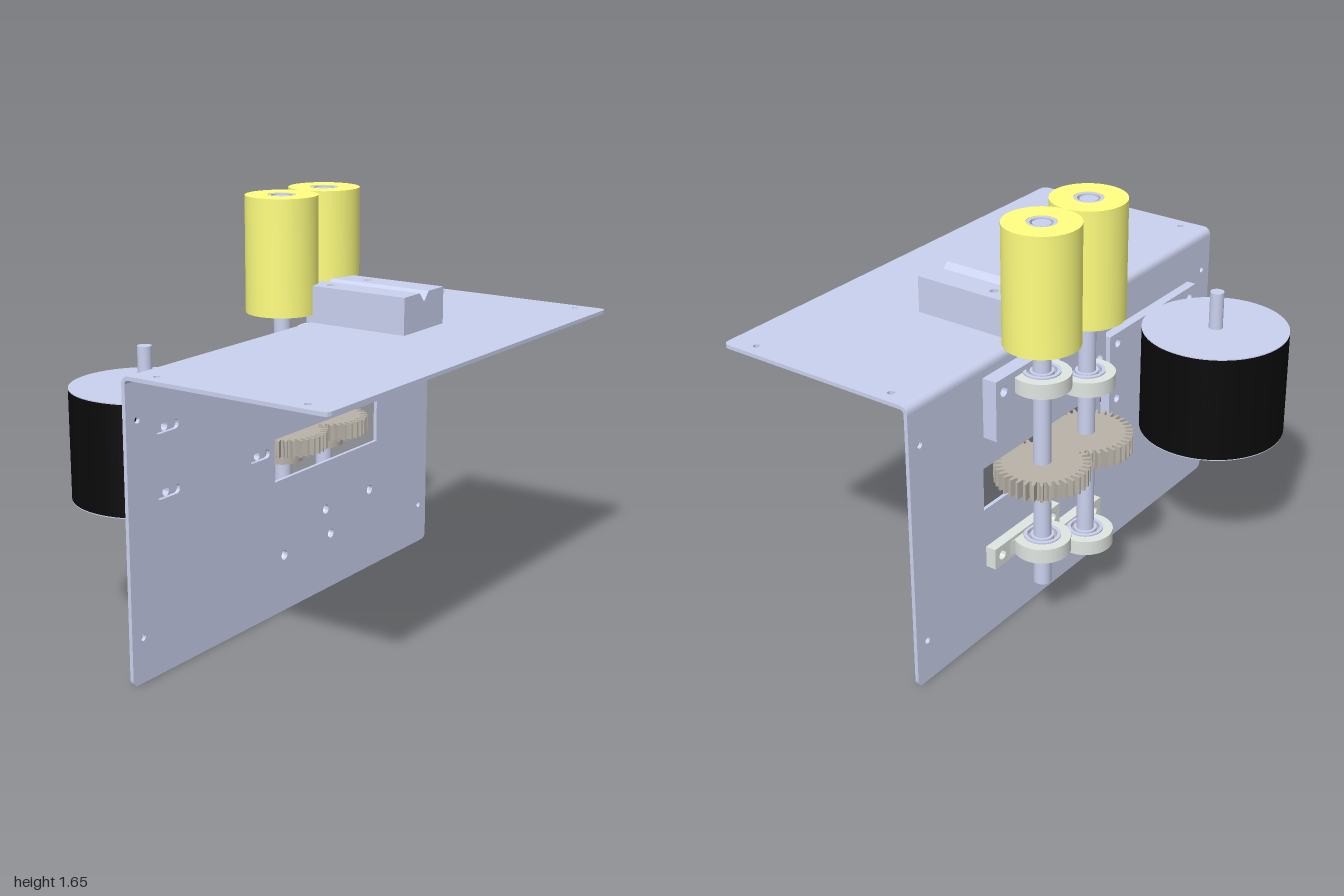
import * as THREE from 'three';
import { toCreasedNormals } from 'three/addons/utils/BufferGeometryUtils.js';

const paint = (color) => new THREE.MeshStandardMaterial({ color });
const steel = paint(0xcad1ee), yellow = paint(0xffff80), black = paint(0x0a0a0a);
const gearGrey = paint(0xb8b2a8), castGrey = paint(0xdfe5e0);

function add(parent, name, geometry, material) {
  const mesh = new THREE.Mesh(geometry, material);
  mesh.name = name;
  parent.add(mesh);
  return mesh;
}

// Upright cylinder between two heights
function post(parent, name, r, x, z, y0, y1, material, sides = 48) {
  const g = new THREE.CylinderGeometry(r, r, y1 - y0, sides);
  return add(parent, name, g.translate(x, (y0 + y1) / 2, z), material);
}

const extrude = (shape, depth) => toCreasedNormals(
  new THREE.ExtrudeGeometry(shape, { depth, bevelEnabled: false, curveSegments: 24 }), 0.5);
// Shape drawn in (z, y), filling x0..x1
const slabX = (shape, x0, x1) => extrude(shape, x1 - x0).rotateY(-Math.PI / 2).translate(x1, 0, 0);
// Shape drawn in (x, z), filling y0..y1
const slabY = (shape, y0, y1) => extrude(shape, y1 - y0).rotateX(Math.PI / 2).translate(0, y1, 0);

const poly = (pts) => new THREE.Shape(pts.map(([a, b]) => new THREE.Vector2(a, b)));
const rect = (a0, b0, a1, b1) => poly([[a0, b0], [a1, b0], [a1, b1], [a0, b1]]);
const disc = (a, b, r) => new THREE.Shape().absarc(a, b, r, 0, Math.PI * 2, false);
function slot(a, b, half, r) {
  const p = new THREE.Path();
  p.absarc(a + half, b, r, -Math.PI / 2, Math.PI / 2, false);
  p.absarc(a - half, b, r, Math.PI / 2, Math.PI * 1.5, false);
  p.closePath();
  return p;
}

const X = -0.235;                       // shaft axis
const BACK = -0.125, FACE = -0.11;      // upright panel thickness
const BOLT = 0.163;                     // bolt offset from shaft
const lines = [                         // the two roller lines
  { z: -0.085, low: 0.235, high: 0.93 },
  { z: -0.375, low: 0.35, high: 1.045 },
];

function bracket(root) {
  const g = new THREE.Group();
  g.name = 'bentBracket';
  root.add(g);
  // Upright panel with bolt holes, motor slots and gear window
  const wall = new THREE.Shape();
  wall.moveTo(-1, 1.13);
  wall.lineTo(-1, 0.03);
  wall.quadraticCurveTo(-1, 0, -0.97, 0);
  wall.lineTo(0.97, 0);
  wall.quadraticCurveTo(1, 0, 1, 0.03);
  wall.lineTo(1, 1.13);
  wall.closePath();
  for (const z of [-0.94, 0.94]) for (const y of [0.175, 0.99]) wall.holes.push(disc(z, y, 0.013));
  for (const l of lines) for (const y of [l.low, l.high]) for (const s of [-1, 1])
    wall.holes.push(disc(l.z + s * BOLT, y, 0.02));
  for (const z of [0.235, 0.78]) for (const y of [0.685, 0.93]) wall.holes.push(slot(z, y, 0.045, 0.018));
  wall.holes.push(rect(-0.59, 0.555, 0.14, 0.73));
  add(g, 'uprightPanel', slabX(wall, BACK, FACE), steel);

  // Top panel
  const top = new THREE.Shape();
  top.moveTo(-0.095, -1);
  top.lineTo(0.71, -1);
  top.quadraticCurveTo(0.74, -1, 0.74, -0.97);
  top.lineTo(0.74, 0.97);
  top.quadraticCurveTo(0.74, 1, 0.71, 1);
  top.lineTo(-0.095, 1);
  top.closePath();
  for (const x of [-0.01, 0.625]) for (const z of [-0.945, 0.945]) top.holes.push(disc(x, z, 0.013));
  for (const [x, z] of [[0.02, -0.32], [-0.04, -0.145], [0.14, -0.32], [0.14, -0.145]])
    top.holes.push(disc(x, z, 0.014));
  add(g, 'topPanel', slabY(top, 1.145, 1.16), steel);

  // Rounded bend joining the panels
  const bend = new THREE.Shape();
  bend.absarc(-0.095, 1.13, 0.03, Math.PI / 2, Math.PI, false);
  bend.absarc(-0.095, 1.13, 0.015, Math.PI, Math.PI / 2, true);
  bend.closePath();
  add(g, 'bend', extrude(bend, 2).translate(0, 0, -1), steel);
}

function guideBlock(root) {
  // Two halves split along the bottom of a V groove, each with one screw hole
  const g = new THREE.Group();
  g.name = 'guideBlock';
  root.add(g);
  add(g, 'guideBase', slabX(poly([[-0.375, 1.16], [-0.09, 1.16], [-0.09, 1.27], [-0.375, 1.27]]), -0.12, 0.335), steel);
  for (const [edge, lip, hx, hz] of [[-0.375, -0.265, 0.02, -0.32], [-0.09, -0.2, -0.04, -0.145]]) {
    const land = rect(-0.12, Math.min(edge, lip), 0.335, Math.max(edge, lip));
    land.holes.push(disc(hx, hz, 0.016));
    add(g, 'guideLand', slabY(land, 1.27, 1.307), steel);
    const wedge = edge < lip
      ? [[lip, 1.27], [-0.2325, 1.27], [lip, 1.307]]
      : [[-0.2325, 1.27], [lip, 1.27], [lip, 1.307]];
    add(g, 'grooveSide', slabX(poly(wedge), -0.12, 0.335), steel);
  }
}

function bearing(root, z, y, withFoot) {
  const g = new THREE.Group();
  g.name = 'pillowBearing';
  root.add(g);
  // Ring housing with a neck flaring to the panel
  const a = 0.6;
  const body = new THREE.Shape();
  body.moveTo(BACK, z - 0.13);
  body.lineTo(-0.165, z - 0.13);
  body.lineTo(X + 0.11 * Math.sin(a), z - 0.11 * Math.cos(a));
  body.absarc(X, z, 0.11, a - Math.PI / 2, Math.PI / 2 - a, true);
  body.lineTo(-0.165, z + 0.13);
  body.lineTo(BACK, z + 0.13);
  body.closePath();
  body.holes.push(disc(X, z, 0.07));
  add(g, 'housing', slabY(body, y - 0.03, y + 0.03), castGrey);
  // Bearing races
  const outer = disc(X, z, 0.071);
  outer.holes.push(disc(X, z, 0.057));
  add(g, 'outerRace', slabY(outer, y - 0.025, y + 0.036), steel);
  post(g, 'bearingFill', 0.058, X, z, y - 0.02, y + 0.02, gearGrey);
  post(g, 'innerRace', 0.045, X, z, y - 0.06, y + 0.035, steel);
  if (!withFoot) return;
  const foot = rect(z - 0.208, y - 0.043, z + 0.208, y + 0.043);
  for (const s of [-1, 1]) foot.holes.push(disc(z + s * BOLT, y, 0.02));
  add(g, 'foot', slabX(foot, -0.168, BACK), castGrey);
}

function gear(root, z, phase) {
  const n = 36, root_ = 0.152, tip = 0.183, pts = [];
  for (let i = 0; i < n; i++) {
    for (const [f, r] of [[-0.32, root_], [-0.14, tip], [0.14, tip], [0.32, root_]]) {
      const t = ((i + f + phase) / n) * Math.PI * 2;
      pts.push([X + r * Math.cos(t), z + r * Math.sin(t)]);
    }
  }
  add(root, 'gear', slabY(poly(pts), 0.63, 0.7), gearGrey);
  post(root, 'gearHub', 0.08, X, z, 0.575, 0.63, gearGrey);
}

function rollerLine(root, l, i) {
  const g = new THREE.Group();
  g.name = 'rollerLine';
  root.add(g);
  post(g, 'shaft', 0.034, X, l.z, 0.175, 1.65, steel);
  const roller = disc(X, l.z, 0.145);
  roller.holes.push(disc(X, l.z, 0.056));
  add(g, 'roller', slabY(roller, 1.19, 1.655), yellow);
  const bush = disc(X, l.z, 0.057);
  bush.holes.push(disc(X, l.z, 0.042));
  add(g, 'rollerBush', slabY(bush, 1.192, 1.653), steel);
  post(g, 'bushCore', 0.043, X, l.z, 1.195, 1.635, gearGrey);
  gear(g, l.z, i * 0.5);
  bearing(g, l.z, l.low, true);
  bearing(g, l.z, l.high, false);
}

function motor(root) {
  const g = new THREE.Group();
  g.name = 'motor';
  root.add(g);
  const x = -0.453, z = 0.5;
  post(g, 'motorBody', 0.293, x, z, 0.538, 0.972, black, 96);
  post(g, 'motorTopCap', 0.293, x, z, 0.972, 0.976, steel, 96);
  post(g, 'motorBottomCap', 0.293, x, z, 0.534, 0.538, steel, 96);
  post(g, 'motorBoss', 0.175, x, z, 0.505, 0.535, steel);
  post(g, 'motorShaft', 0.028, x, z, 0.97, 1.13, steel);
  // Mounting plate
  const plate = rect(0.18, 0.54, 0.825, 0.975);
  for (const pz of [0.235, 0.78]) for (const y of [0.685, 0.93]) plate.holes.push(disc(pz, y, 0.018));
  add(g, 'motorPlate', slabX(plate, -0.165, BACK), steel);
}

export function createModel() {
  const root = new THREE.Group();
  root.name = 'rollerFeeder';
  bracket(root);
  guideBlock(root);
  // Spacer bar carrying the upper bearings
  const bar = rect(-0.585, 0.86, 0.12, 1.1);
  for (const l of lines) for (const s of [-1, 1]) bar.holes.push(disc(l.z + s * BOLT, l.high, 0.02));
  add(root, 'bearingBar', slabX(bar, -0.185, BACK), steel);
  lines.forEach((l, i) => rollerLine(root, l, i));
  motor(root);
  return root;
}
